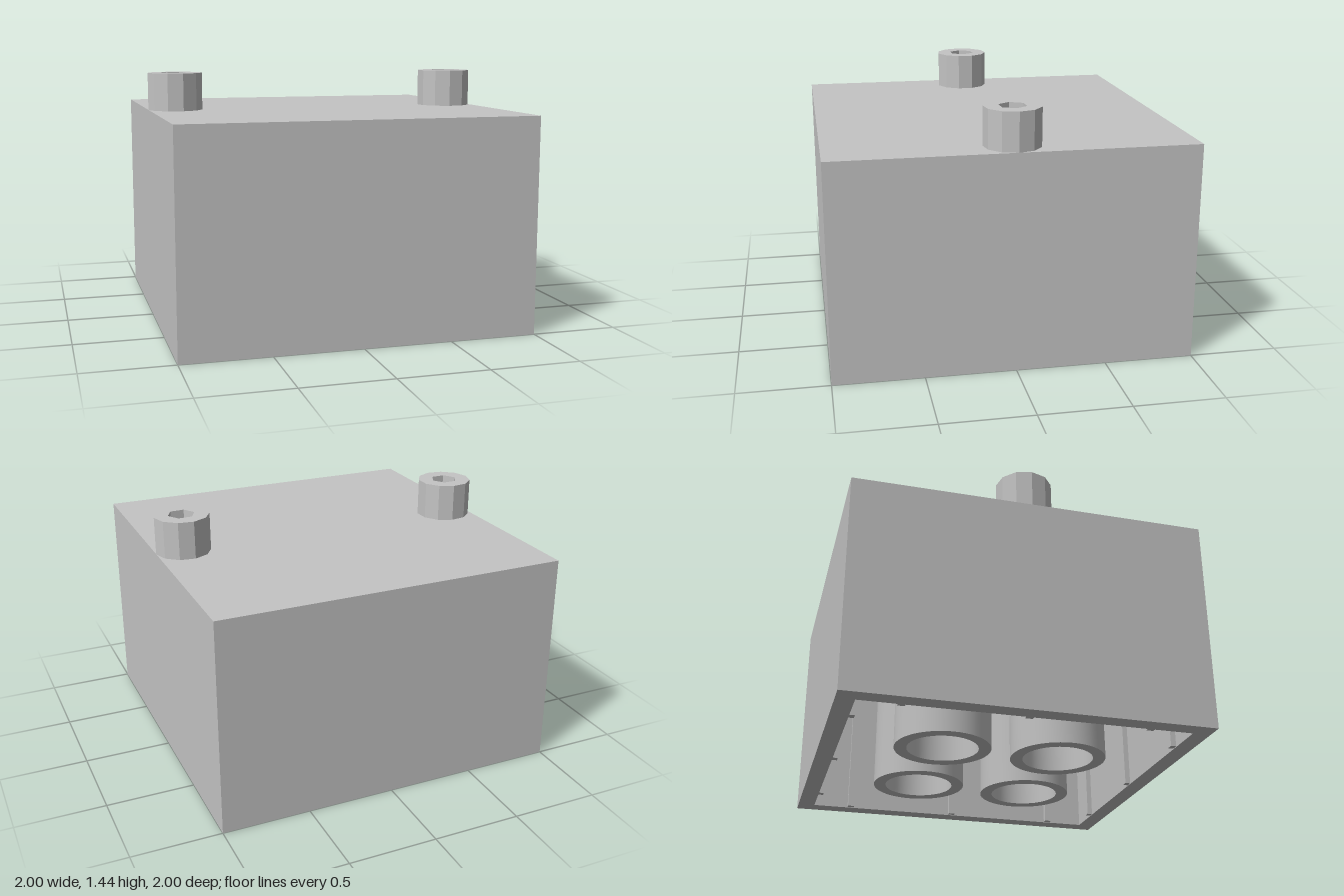
import * as THREE from 'three';
import { toCreasedNormals } from 'three/addons/utils/BufferGeometryUtils.js';

const H = 1.225;       // block height
const CEILING = 1.125; // underside of the top plate
const INNER = 0.9;     // half width of the cavity
const PITCH = 2 / 3;   // spacing of tubes and ribs

// Revolved outline with sharp edges kept
function revolve(points, sides, start = 0) {
  const profile = points.map(([r, y]) => new THREE.Vector2(r, y));
  return toCreasedNormals(new THREE.LatheGeometry(profile, sides, start), 0.6);
}

function ring(sides, radius, turn) {
  return Array.from({ length: sides }, (_, i) => {
    const a = turn + (i / sides) * Math.PI * 2;
    return new THREE.Vector2(Math.cos(a) * radius, Math.sin(a) * radius);
  });
}

export function createModel() {
  const model = new THREE.Group();
  model.name = 'block';
  const grey = new THREE.MeshStandardMaterial({ color: 0xc4c4c4 });
  grey.name = 'light grey';

  const add = (parent, name, geometry, x = 0, y = 0, z = 0) => {
    const mesh = new THREE.Mesh(geometry, grey);
    mesh.name = name;
    mesh.position.set(x, y, z);
    parent.add(mesh);
    return mesh;
  };

  // Hollow square shell, open at the bottom
  const d = Math.SQRT2;
  add(model, 'shell', revolve([
    [0, CEILING], [INNER * d, CEILING], [INNER * d, 0], [d, 0], [d, H], [0, H],
  ], 4, Math.PI / 4));

  // Four tubes hanging from the ceiling
  const tube = revolve([[0.2, CEILING], [0.2, 0], [0.27, 0], [0.27, CEILING]], 48);
  for (const x of [-1, 1]) {
    for (const z of [-1, 1]) add(model, 'tube', tube, x * PITCH / 2, 0, z * PITCH / 2);
  }

  // Three thin ribs on each inner wall
  const rib = new THREE.BoxGeometry(0.04, CEILING, 0.03);
  for (let side = 0; side < 4; side++) {
    const wall = new THREE.Group();
    wall.name = 'wallRibs';
    wall.rotation.y = side * Math.PI / 2;
    for (const i of [-1, 0, 1]) {
      add(wall, 'rib', rib, i * PITCH, CEILING / 2 + 0.004, INNER - 0.015);
    }
    model.add(wall);
  }

  // Faceted bolt heads with hexagonal sockets
  const headShape = new THREE.Shape(ring(11, 0.158, 0.02));
  headShape.holes.push(new THREE.Path(ring(6, 0.078, 0.05)));
  const head = new THREE.ExtrudeGeometry(headShape, { depth: 0.215, bevelEnabled: false });
  head.rotateX(-Math.PI / 2);
  const floor = new THREE.ShapeGeometry(new THREE.Shape(ring(6, 0.079, 0.05)));
  floor.rotateX(-Math.PI / 2);
  for (const side of [-1, 1]) {
    const bolt = new THREE.Group();
    bolt.name = side > 0 ? 'leftBolt' : 'rightBolt';
    bolt.position.set(side * 0.843, H, 0);
    bolt.rotation.y = side > 0 ? 0 : Math.PI;
    add(bolt, 'boltHead', head);
    add(bolt, 'socketFloor', floor, 0, 0.1, 0);
    model.add(bolt);
  }

  return model;
}
